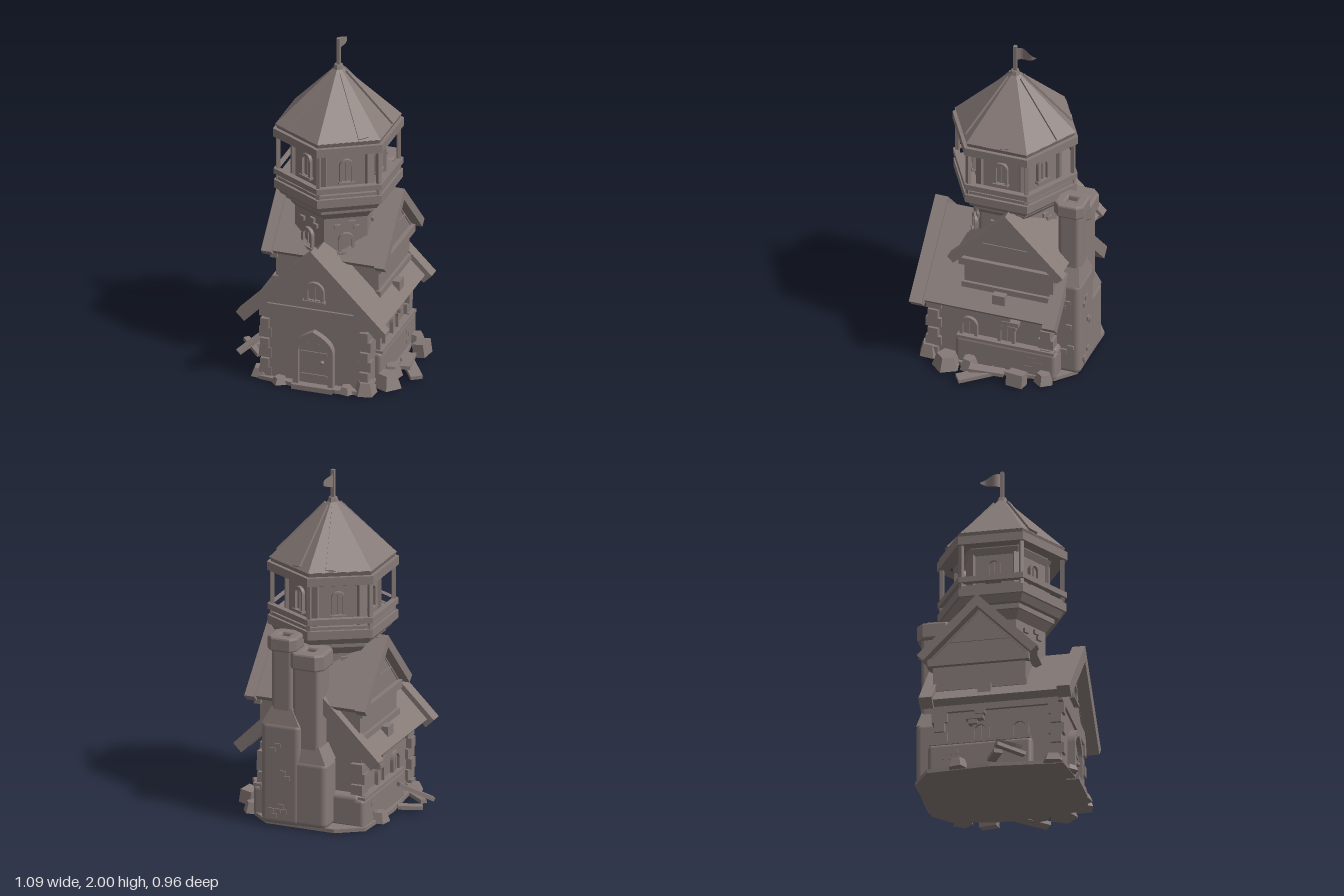
import * as THREE from 'three';
import { RoundedBoxGeometry } from 'three/addons/geometries/RoundedBoxGeometry.js';

const stone = new THREE.MeshStandardMaterial({ color: 0x867a77 });
stone.name = 'warm grey stone';

export function createModel() {
  const root = new THREE.Group();
  const { PI, sin, cos } = Math;

  // Adds a mesh; faceted unless smooth is set
  function add(name, geo, x = 0, y = 0, z = 0, ry = 0, parent = root, smooth = false) {
    if (!smooth) {
      if (geo.index) geo = geo.toNonIndexed();
      geo.computeVertexNormals();
    }
    const m = new THREE.Mesh(geo, stone);
    m.name = name;
    m.position.set(x, y, z);
    m.rotation.y = ry;
    parent.add(m);
    return m;
  }
  const box = (name, w, h, d, x, y, z, ry = 0, parent = root) =>
    add(name, new THREE.BoxGeometry(w, h, d), x, y, z, ry, parent);
  const rounded = (name, w, h, d, x, y, z, r = 0.03) =>
    add(name, new RoundedBoxGeometry(w, h, d, 3, r), x, y, z, 0, root, true);
  const hex = (name, rTop, rBot, y0, y1) =>
    add(name, new THREE.CylinderGeometry(rTop, rBot, y1 - y0, 6), 0, (y0 + y1) / 2, 0);
  const poly = pts => new THREE.Shape(pts.map(p => new THREE.Vector2(p[0], p[1])));
  const extrude = (shape, depth) =>
    new THREE.ExtrudeGeometry(shape, { depth, bevelEnabled: false, curveSegments: 8 });
  const hexPts = r => [0, 1, 2, 3, 4, 5].map(i => [r * sin(i * PI / 3), r * cos(i * PI / 3)]);

  function hexRing(name, rOut, rIn, y0, y1) {
    const s = poly(hexPts(rOut));
    s.holes.push(poly(hexPts(rIn)));
    return add(name, extrude(s, y1 - y0).rotateX(-PI / 2), 0, y0, 0);
  }
  // Chevron roof slab: square-cut ends, t is the perpendicular thickness
  function chevron(apex, half, eave, t) {
    const k = t * Math.SQRT1_2, drop = t * Math.SQRT2;
    return poly([[0, apex], [-half, eave], [-half + k, eave - k], [0, apex - drop],
      [half - k, eave - k], [half, eave]]);
  }
  function arch(w, h, pointed) {
    const s = new THREE.Shape();
    s.moveTo(-w, 0).lineTo(w, 0).lineTo(w, h - w);
    if (pointed) {
      s.quadraticCurveTo(w * 0.95, h - w * 0.4, 0, h);
      s.quadraticCurveTo(-w * 0.95, h - w * 0.4, -w, h - w);
    } else s.absarc(0, h - w, w, 0, PI, false);
    s.closePath();
    return s;
  }
  function archWindow(name, x, y, z, ry, w, h) {
    const g = new THREE.Group();
    g.name = name;
    g.position.set(x, y, z);
    g.rotation.y = ry;
    const frame = arch(w, h);
    const hole = arch(w * 0.65, h - w * 0.55);
    frame.holes.push(new THREE.Path(hole.getPoints(8).map(p => p.add(new THREE.Vector2(0, w * 0.2)))));
    add('windowFrame', extrude(frame, 0.022), 0, 0, 0, 0, g);
    add('windowPane', extrude(arch(w * 0.7, h - w * 0.3), 0.006), 0, 0, 0, 0, g);
    box('windowBar', w * 0.14, h * 0.85, 0.008, 0, h * 0.45, 0.008, 0, g);
    box('windowSill', w * 2.3, 0.014, 0.032, 0, 0, 0.014, 0, g);
    root.add(g);
  }

  // Ground storey and long gabled body
  const body = poly([[-0.3, 0.015], [0.3, 0.015], [0.3, 0.47], [0, 0.78], [-0.3, 0.47]]);
  add('houseBody', extrude(body, 0.71), 0, 0, -0.31);
  add('mainRoof', extrude(chevron(0.84, 0.405, 0.435, 0.045), 0.72), 0, 0, -0.315);
  for (const z of [0.402, -0.39])
    add('bargeBoard', extrude(chevron(0.88, 0.445, 0.435, 0.07), 0.075), 0, 0, z);
  box('gableBeam', 0.66, 0.085, 0.03, 0, 0.445, 0.398);
  archWindow('gableWindow', 0, 0.54, 0.4, 0, 0.058, 0.12);

  // Front door
  const frame = arch(0.12, 0.345, true);
  frame.holes.push(new THREE.Path(arch(0.088, 0.305, true).getPoints(8)));
  add('doorFrame', extrude(frame, 0.042), 0, 0.016, 0.4);
  add('door', extrude(arch(0.09, 0.31, true), 0.015), 0, 0.016, 0.4);
  for (const x of [-0.03, 0.03]) box('doorGroove', 0.005, 0.26, 0.006, x, 0.15, 0.416);
  for (const y of [0.08, 0.22]) box('doorStrap', 0.16, 0.016, 0.008, 0, y, 0.418);
  add('doorKnob', new THREE.SphereGeometry(0.013, 10, 8), 0.05, 0.17, 0.425, 0, root, true);
  box('doorStep', 0.24, 0.03, 0.07, 0, 0.015, 0.43);

  // Cross gable through the house, ridge along x
  const cz = -0.07;
  const cross = poly([[-0.265, 0.5], [0.265, 0.5], [0.265, 0.75], [0, 1.02], [-0.265, 0.75]]);
  add('crossGableBody', extrude(cross, 0.61).rotateY(PI / 2), -0.305, 0, cz);
  add('crossRoof', extrude(chevron(1.06, 0.32, 0.735, 0.04), 0.62).rotateY(PI / 2), -0.31, 0, cz);
  for (const s of [-1, 1]) {
    add('crossBargeBoard', extrude(chevron(1.085, 0.345, 0.738, 0.05), 0.06).rotateY(PI / 2),
      s * 0.337 - 0.03, 0, cz);
    box('crossGableBeam', 0.04, 0.045, 0.58, s * 0.311, 0.7, cz);
    box('crossGableLowerBeam', 0.03, 0.035, 0.55, s * 0.308, 0.54, cz);
    box('crossGablePeakBeam', 0.012, 0.012, 0.36, s * 0.305, 0.83, cz);
    box('eaveBracket', 0.06, 0.1, 0.075, s * 0.335, 0.485, -0.03);

    // Side windows, plinth and masonry
    for (const z of [0.165, -0.06])
      archWindow('sideWindow', s * 0.3, 0.185, z, s * PI / 2, 0.052, 0.13);
    rounded('sidePlinth', 0.1, 0.18, 0.6, s * 0.29, 0.1, -0.06, 0.025);
    box('plinthLedge', 0.06, 0.018, 0.58, s * 0.312, 0.19, -0.06);
    box('wallPlate', 0.03, 0.04, 0.68, s * 0.305, 0.41, 0.04);
    for (const [y, z, d] of [[0.34, -0.09, 0.1], [0.37, -0.06, 0.06], [0.31, -0.1, 0.05],
      [0.13, -0.22, 0.07], [0.1, -0.25, 0.06], [0.07, -0.2, 0.05]])
      box('wallBrick', 0.04, 0.026, d, s * 0.322, y, z);
    // Corner quoins
    for (let i = 0; i < 6; i++) {
      const long = i % 2;
      box('frontQuoin', long ? 0.05 : 0.075, 0.06, long ? 0.09 : 0.06, s * 0.295, 0.05 + i * 0.062, 0.375);
      box('backQuoin', long ? 0.07 : 0.09, 0.06, long ? 0.09 : 0.06, s * 0.285, 0.05 + i * 0.062, -0.295);
    }
  }

  // Tower shaft and corbelled gallery
  hex('towerShaft', 0.25, 0.25, 0.45, 1.0);
  hex('towerCorbel', 0.29, 0.25, 0.98, 1.03);
  hex('towerCorbelBand', 0.3, 0.3, 1.03, 1.065);
  hex('galleryUnderside', 0.355, 0.33, 1.06, 1.1);
  hex('galleryFloor', 0.37, 0.37, 1.1, 1.15);
  hex('lookoutRoom', 0.262, 0.262, 1.15, 1.44);
  hex('lookoutCornice', 0.285, 0.265, 1.385, 1.42);
  hexRing('lowerRail', 0.355, 0.335, 1.152, 1.17);
  hexRing('galleryRail', 0.372, 0.335, 1.187, 1.22);
  hexRing('eaveRing', 0.375, 0.3, 1.42, 1.47);
  for (let i = 0; i < 6; i++) {
    const v = i * PI / 3, f = v + PI / 6;
    box('galleryPost', 0.022, 0.28, 0.022, 0.345 * sin(v), 1.285, 0.345 * cos(v), v);
    box('roomCornerPost', 0.04, 0.24, 0.03, 0.256 * sin(v), 1.27, 0.256 * cos(v), v);
    archWindow('lookoutWindow', 0.226 * sin(f), 1.21, 0.226 * cos(f), f, 0.04, 0.145);
    archWindow('shaftWindow', 0.216 * sin(f), 0.77, 0.216 * cos(f), f, 0.045, 0.12);
    for (const [o, y] of [[-0.05, 0.93], [0.035, 0.95], [0.06, 0.92]])
      box('shaftBrick', 0.035, 0.025, 0.03, 0.216 * sin(f) + o * cos(f), y, 0.216 * cos(f) - o * sin(f), f);
  }

  // Tower roof with a few raised boards
  hex('towerRoof', 0.025, 0.362, 1.495, 1.82);
  hex('roofEdge', 0.362, 0.35, 1.468, 1.497);
  for (const [face, turn] of [[0, 0.2], [5, -0.2], [2, 0.16], [3, -0.12], [1, 0.12]]) {
    const g = new THREE.Group();
    g.name = 'roofBoard';
    g.position.y = 1.82;
    g.rotation.y = face * PI / 3 + PI / 6;
    const tilt = new THREE.Group();
    tilt.position.z = 0.022;
    tilt.rotation.x = -Math.atan2(0.292, 0.325);
    tilt.rotation.order = 'YXZ';
    const strip = poly([[-0.008, -0.03], [0.008, -0.03], [0.03, -0.43], [-0.03, -0.43]]);
    add('roofBoardStrip', extrude(strip, 0.012), 0, 0, 0, 0, tilt).rotation.z = turn;
    g.add(tilt);
    root.add(g);
  }

  // Finial, pole and pennant
  add('finial', new THREE.CylinderGeometry(0.024, 0.032, 0.028, 6), 0, 1.825, 0);
  box('flagPole', 0.02, 0.18, 0.02, 0, 1.91, 0);
  const flag = new THREE.PlaneGeometry(0.125, 0.08, 10, 1);
  const fp = flag.attributes.position;
  for (let i = 0; i < fp.count; i++) {
    const u = fp.getX(i) / 0.125 + 0.5, side = Math.sign(fp.getY(i));
    fp.setXYZ(i, -0.012 * sin(u * 6), 1.948 + side * 0.04 * (1 - u * u), -0.005 - u * 0.125);
  }
  const back = flag.clone();
  back.setIndex([...flag.index.array].reverse());
  add('pennant', flag);
  add('pennantBack', back);

  // Chimneys: broad base, sloping shoulder, flue and hollow cap
  function chimney(x, z, w, d, shoulder, flue, capY, cap, capH) {
    const bz = -0.385;
    rounded('chimneyBase', w, shoulder, d, x, shoulder / 2 + 0.015, bz, 0.035);
    const geo = new THREE.BoxGeometry(w * 0.95, 0.1, d * 0.95);
    const p = geo.attributes.position;
    for (let i = 0; i < p.count; i++)
      if (p.getY(i) > 0) p.setXYZ(i, p.getX(i) * flue / w, 0.05, p.getZ(i) * flue / d + z - bz);
    add('chimneyShoulder', geo, x, shoulder + 0.05, bz);
    rounded('chimneyFlue', flue, capY - shoulder + 0.04, flue, x, (capY + shoulder) / 2 + 0.03, z, 0.025);
    const c = cap - 0.012, b = c * 0.65, h = 0.04;
    const s = poly([[-b, -c], [b, -c], [c, -b], [c, b], [b, c], [-b, c], [-c, b], [-c, -b]]);
    s.holes.push(poly([[-h, -h], [-h, h], [h, h], [h, -h]]));
    add('chimneyCap', new THREE.ExtrudeGeometry(s, { depth: capH - 0.024, bevelEnabled: true,
      bevelSize: 0.012, bevelThickness: 0.012, bevelSegments: 2 }).rotateX(-PI / 2), x, capY + 0.012, z);
  }
  chimney(0.125, -0.385, 0.24, 0.175, 0.61, 0.13, 1.045, 0.088, 0.085);
  chimney(-0.02, -0.365, 0.27, 0.165, 0.4, 0.165, 0.95, 0.105, 0.1);
  for (const [x, y] of [[0.1, 0.1], [0.14, 0.1], [0.18, 0.1], [0.12, 0.13], [0.16, 0.07], [0.08, 0.3],
    [0.11, 0.33], [0.17, 0.46], [0.14, 0.49]])
    box('chimneyBrick', 0.036, 0.026, 0.03, x, y, -0.465);
  for (const [y, z] of [[0.5, -0.4], [0.47, -0.37], [0.2, -0.42], [0.17, -0.38], [0.34, -0.41]])
    box('chimneySideBrick', 0.025, 0.026, 0.035, 0.243, y, z);
  rounded('backPlinth', 0.62, 0.2, 0.09, 0, 0.11, -0.315, 0.03);

  // Uneven foundation slab and loose rocks
  add('foundation', extrude(poly([[-0.33, -0.42], [-0.1, -0.45], [0.14, -0.46], [0.31, -0.43], [0.36, -0.2],
    [0.37, 0.1], [0.33, 0.35], [0.22, 0.45], [-0.2, 0.46], [-0.35, 0.36], [-0.37, 0]]), 0.022)
    .rotateX(-PI / 2), 0, 0.008, 0);
  for (const [x, z, r, h, turn] of [[0.39, 0.27, 0.085, 0.08, 0.2], [0.3, 0.4, 0.07, 0.075, 0.9],
    [0.36, -0.3, 0.06, 0.06, 0.3], [-0.33, 0.36, 0.07, 0.05, 0.5], [-0.36, -0.18, 0.06, 0.06, 0.1],
    [0.2, 0.43, 0.05, 0.04, 0.4], [-0.2, 0.43, 0.05, 0.035, 1.1], [0.37, 0.14, 0.06, 0.07, 0.7]])
    add('looseRock', new THREE.CylinderGeometry(r * 0.65, r, h, 5), x, h / 2 + 0.012, z, turn);

  // Crate and fallen planks beside the walls
  box('crate', 0.07, 0.08, 0.1, 0.44, 0.055, -0.165, -0.12).rotation.z = 0.15;
  function plank(w, x, y, z, len, ry, tilt) {
    const m = box('fallenPlank', w, 0.022, len, x, y, z, ry);
    m.rotation.order = 'YXZ';
    m.rotation.x = tilt;
  }
  plank(0.07, 0.46, 0.04, 0.07, 0.22, 0.6, 0.08);
  plank(0.06, 0.42, 0.055, 0.02, 0.2, 0.15, -0.05);
  plank(0.035, -0.46, 0.06, 0.14, 0.19, 0.75, 0.1);
  plank(0.04, -0.45, 0.1, 0.13, 0.24, -0.8, 0.5);
  plank(0.05, -0.45, 0.035, 0.05, 0.14, -1.1, 0.05);
  return root;
}
